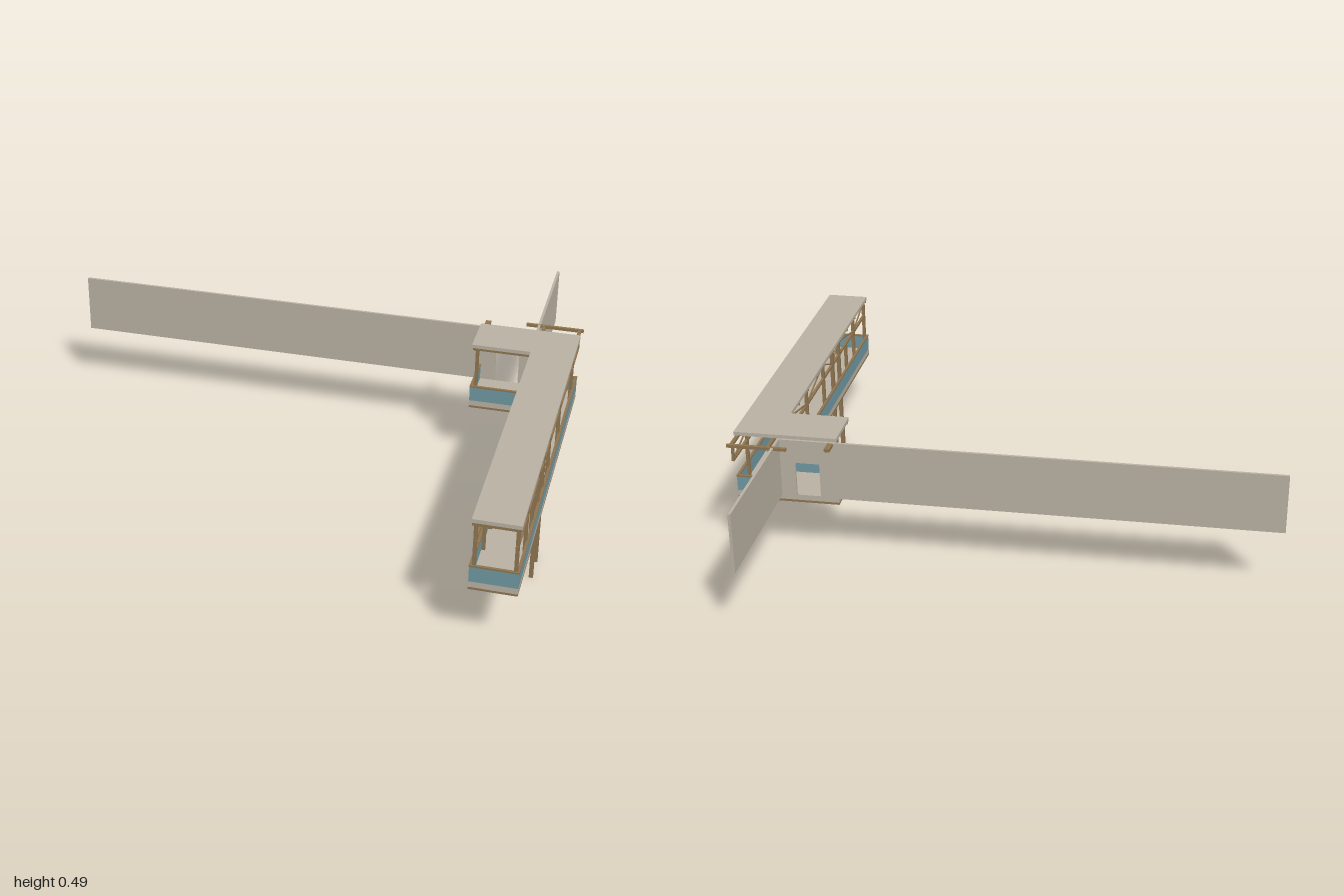
import * as THREE from 'three';

const plaster = new THREE.MeshStandardMaterial({ color: 0xbab2a3 });
plaster.name = 'plaster';
const wood = new THREE.MeshStandardMaterial({ color: 0x8f7551 });
wood.name = 'wood';
const panel = new THREE.MeshStandardMaterial({ color: 0x7199a3 });
panel.name = 'bluePanel';

// Plan limits: long arm x IN..OUT, side wing x WING..IN
const IN = 0.835, OUT = 0.997, WING = 0.615;
const FRONT = 0.97, BACK = -0.395, STEP = -0.21;

export function createModel() {
  const model = new THREE.Group();
  model.name = 'raisedWalkway';

  const group = (name) => {
    const g = new THREE.Group();
    g.name = name;
    model.add(g);
    return g;
  };

  // Box from minimum and maximum corners
  const box = (parent, name, mat, x0, x1, y0, y1, z0, z1) => {
    const m = new THREE.Mesh(new THREE.BoxGeometry(x1 - x0, y1 - y0, z1 - z0), mat);
    m.position.set((x0 + x1) / 2, (y0 + y1) / 2, (z0 + z1) / 2);
    m.name = name;
    parent.add(m);
    return m;
  };

  // L-shaped slab between two heights
  const outline = [[WING, BACK], [OUT, BACK], [OUT, FRONT], [IN, FRONT], [IN, STEP], [WING, STEP]];
  const slab = (name, y0, y1) => {
    const shape = new THREE.Shape(outline.map(([x, z]) => new THREE.Vector2(x, -z)));
    const geo = new THREE.ExtrudeGeometry(shape, { depth: y1 - y0, bevelEnabled: false });
    geo.rotateX(-Math.PI / 2);
    geo.translate(0, y0, 0);
    const m = new THREE.Mesh(geo, plaster);
    m.name = name;
    model.add(m);
  };
  slab('floor', 0.228, 0.25);
  slab('roof', 0.474, 0.488);

  // Long wall with a doorway, and the rear wall
  const wallShape = new THREE.Shape([
    [-1, 0.25], [0.68, 0.25], [0.68, 0.385], [0.77, 0.385], [0.77, 0.25],
    [IN, 0.25], [IN, 0.475], [-1, 0.475],
  ].map(([x, y]) => new THREE.Vector2(x, y)));
  const wallGeo = new THREE.ExtrudeGeometry(wallShape, { depth: 0.01, bevelEnabled: false });
  wallGeo.translate(0, 0, -0.405);
  const wall = new THREE.Mesh(wallGeo, plaster);
  wall.name = 'longWall';
  model.add(wall);
  box(model, 'rearWall', plaster, 0.825, IN, 0.25, 0.475, -0.975, -0.405);

  // Parapets with handrail and bottom trim, one run per outer edge
  const parapet = group('parapet');
  const runs = [
    [OUT - 0.008, OUT, BACK, FRONT],
    [IN, IN + 0.008, STEP, FRONT],
    [IN, OUT, FRONT - 0.008, FRONT],
    [WING, IN, STEP - 0.008, STEP],
    [WING, WING + 0.008, BACK, STEP],
    [IN, OUT, BACK, BACK + 0.008],
  ];
  for (const [x0, x1, z0, z1] of runs) {
    box(parapet, 'parapetPanel', panel, x0, x1, 0.25, 0.307, z0, z1);
    box(parapet, 'handrail', wood, x0 - 0.001, x1 + 0.001, 0.306, 0.312, z0 - 0.001, z1 + 0.001);
    box(parapet, 'edgeBeam', wood, x0, x1, 0.22, 0.2285, z0, z1);
  }
  box(parapet, 'edgeBeam', wood, WING, IN, 0.22, 0.2285, BACK, BACK + 0.008);

  // Floor joists under the deck
  const joists = group('floorJoists');
  for (const z of [0.775, 0.645, 0.53, 0.43, 0.29, 0.045, -0.1]) {
    box(joists, 'joist', wood, IN, OUT, 0.222, 0.2285, z - 0.006, z + 0.006);
  }
  box(joists, 'wingJoist', wood, WING, OUT, 0.222, 0.2285, -0.306, -0.294);
  for (const x of [0.725, IN]) {
    box(joists, 'wingCrossJoist', wood, x - 0.006, x + 0.006, 0.222, 0.2285, BACK, STEP);
  }

  // Truss on each side of the long arm
  const zigzag = [[0.965, 1], [0.775, 0], [0.53, 1], [0.43, 0], [0.29, 1], [0.045, 0], [-0.215, 1], [-0.45, 0]];
  for (const [name, x] of [['innerTruss', 0.849], ['outerTruss', 0.985]]) {
    const truss = group(name);
    const post = (n, z, y0, y1, r = 0.006) => box(truss, n, wood, x - r, x + r, y0, y1, z - r, z + r);
    box(truss, 'topChord', wood, x - 0.006, x + 0.006, 0.463, 0.474, -0.475, FRONT);
    box(truss, 'bottomChord', wood, x - 0.005, x + 0.005, 0.4, 0.409, -0.456, FRONT);
    for (const z of [0.96, 0.775, 0.29, 0.045, -0.29]) post('post', z, 0.25, z < 0 ? 0.405 : 0.465);
    post('shortPost', 0.645, 0.25, 0.402);
    for (const z of [0.53, 0.43]) post('stilt', z, 0, 0.465, 0.007);
    for (const z of [-0.215, -0.29, -0.45]) post('trussUpright', z, 0.4, 0.465, 0.005);
    for (let i = 0; i < zigzag.length - 1; i++) {
      const [za, a] = zigzag[i], [zb, b] = zigzag[i + 1];
      const dy = (b - a) * 0.058, dz = zb - za;
      const brace = new THREE.Mesh(new THREE.BoxGeometry(0.005, 0.005, Math.hypot(dy, dz)), wood);
      brace.position.set(x, 0.436, (za + zb) / 2);
      brace.rotation.x = -Math.atan(dy / dz);
      brace.name = 'diagonalBrace';
      truss.add(brace);
    }
  }

  // Roof beams across the arm, and the projecting beam at the back
  const beams = group('roofBeams');
  for (const z of [0.964, 0.775, 0.645, 0.53, 0.43, 0.29, 0.17, 0.045, -0.085]) {
    box(beams, 'crossBeam', wood, IN + 0.002, OUT - 0.002, 0.464, 0.4745, z - 0.005, z + 0.005);
  }
  box(beams, 'wingFrontBeam', wood, WING + 0.003, OUT - 0.002, 0.464, 0.4745, -0.224, -0.213);
  box(beams, 'wingMiddleBeam', wood, WING + 0.003, OUT - 0.002, 0.464, 0.4745, -0.305, -0.295);
  box(beams, 'wingSideBeam', wood, 0.625, 0.645, 0.463, 0.4745, -0.455, STEP);
  box(beams, 'rearBeam', wood, 0.78, 1, 0.464, 0.475, -0.476, -0.464);
  box(beams, 'wingPost', wood, 0.629, 0.641, 0.25, 0.465, -0.231, -0.219);

  // Small ceiling fittings
  for (const [x, z] of [[0.917, 0.48], [0.725, -0.3]]) {
    const lamp = new THREE.Mesh(new THREE.CylinderGeometry(0.007, 0.007, 0.02, 12), wood);
    lamp.position.set(x, 0.465, z);
    lamp.name = 'ceilingFitting';
    model.add(lamp);
  }
  return model;
}
